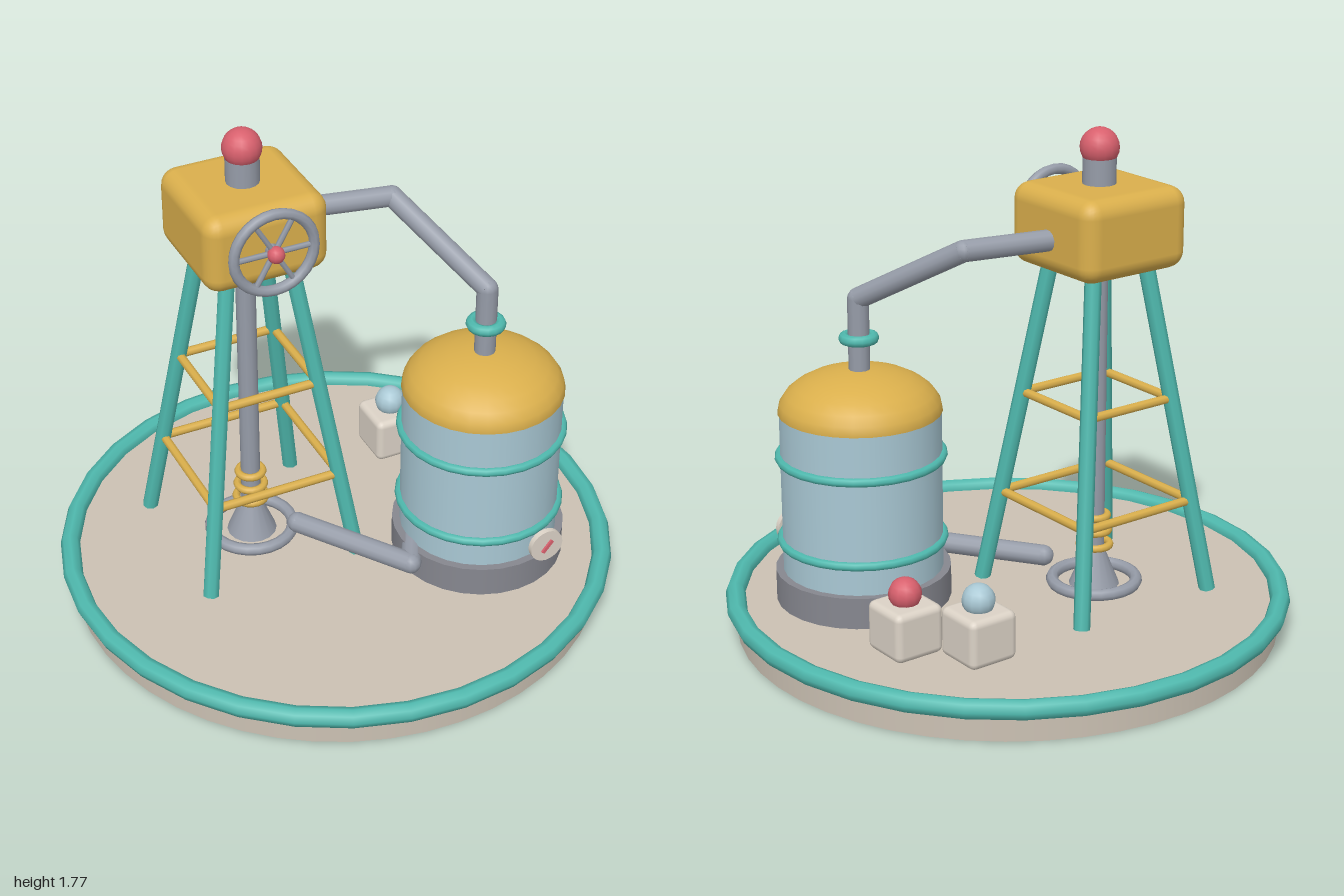
import * as THREE from 'three';
import { RoundedBoxGeometry } from 'three/addons/geometries/RoundedBoxGeometry.js';

const mat = (name, color) => {
  const m = new THREE.MeshStandardMaterial({ color });
  m.name = name;
  return m;
};

export function createModel() {
  const stone = mat('stone', 0xcbc1b3);
  const cream = mat('cream', 0xdbd2c6);
  const teal = mat('teal', 0x4fb9ae);
  const gold = mat('gold', 0xdaaf4c);
  const steel = mat('steel', 0x969ca8);
  const darkSteel = mat('dark steel', 0x86878f);
  const red = mat('red', 0xd8606d);
  const blue = mat('pale blue', 0xa9c8d4);

  const root = new THREE.Group();
  root.name = 'pumpStation';
  const group = (name, x, y, z) => {
    const g = new THREE.Group();
    g.name = name;
    g.position.set(x, y, z);
    root.add(g);
    return g;
  };
  const add = (parent, name, geo, material, x = 0, y = 0, z = 0) => {
    const m = new THREE.Mesh(geo, material);
    m.name = name;
    m.position.set(x, y, z);
    parent.add(m);
    return m;
  };
  // Upright cylinder between two heights
  const column = (parent, name, r0, r1, y0, y1, material, sides = 24) =>
    add(parent, name, new THREE.CylinderGeometry(r1, r0, y1 - y0, sides), material, 0, (y0 + y1) / 2, 0);
  // Horizontal ring
  const ring = (parent, name, r, tube, y, material, sides = 8, segs = 28) =>
    add(parent, name, new THREE.TorusGeometry(r, tube, sides, segs).rotateX(Math.PI / 2), material, 0, y, 0);
  // Round bar between two points
  const bar = (parent, name, a, b, r, material, sides = 8) => {
    const p = new THREE.Vector3(...a), d = new THREE.Vector3(...b).sub(p);
    const m = add(parent, name, new THREE.CylinderGeometry(r, r, d.length(), sides), material);
    m.position.copy(p).addScaledVector(d, 0.5);
    m.quaternion.setFromUnitVectors(new THREE.Vector3(0, 1, 0), d.normalize());
    return m;
  };
  // Pipe of straight runs with round elbows
  const pipe = (name, pts, r) => {
    const g = group(name, 0, 0, 0);
    pts.forEach((p, i) => {
      if (i) bar(g, 'pipeRun', pts[i - 1], p, r, steel, 12);
      add(g, 'elbow', new THREE.SphereGeometry(r, 12, 8), steel, ...p);
    });
  };

  // Round platform with rim
  const base = group('platform', 0, 0, 0);
  column(base, 'platformDisc', 0.96, 0.96, 0, 0.115, stone, 48);
  ring(base, 'platformRim', 0.965, 0.035, 0.115, teal, 8, 32);

  // Tower
  const tx = -0.262, tz = -0.164;
  const tower = group('tower', tx, 0, tz);
  const spread = y => 0.28 - 0.143 * (y - 0.15);
  const corners = [[1, 1], [-1, 1], [-1, -1], [1, -1]];
  corners.forEach(([sx, sz], i) => {
    const at = (y, [cx, cz]) => [cx * spread(y), y, cz * spread(y)];
    bar(tower, 'towerLeg', at(0.115, [sx, sz]), at(1.34, [sx, sz]), 0.029, teal);
    for (const y of [0.45, 0.825])
      bar(tower, 'towerBrace', at(y, [sx, sz]), at(y, corners[(i + 1) % 4]), 0.016, gold);
  });
  add(tower, 'gearHousing', new RoundedBoxGeometry(0.444, 0.285, 0.44, 3, 0.06), gold, 0, 1.436, 0);
  column(tower, 'drillShaft', 0.035, 0.035, 0.2, 1.32, steel, 12);
  column(tower, 'wellCone', 0.09, 0.035, 0.115, 0.25, steel, 16);
  ring(tower, 'wellRing', 0.15, 0.022, 0.13, steel, 8, 24);
  [0.265, 0.32, 0.375].forEach((y, i) =>
    ring(tower, 'shaftRing', 0.054 - i * 0.005, 0.014, y, gold, 8, 20));
  column(tower, 'topPost', 0.058, 0.058, 1.56, 1.68, steel, 16);
  add(tower, 'beacon', new THREE.SphereGeometry(0.068, 16, 12), red, 0, 1.703, 0);

  // Handwheel on the housing front
  const wheel = group('handwheel', tx, 1.436, 0.082);
  add(wheel, 'wheelRim', new THREE.TorusGeometry(0.144, 0.019, 8, 28), steel);
  for (let i = 0; i < 3; i++) {
    const a = i * Math.PI / 3, c = 0.144 * Math.cos(a), s = 0.144 * Math.sin(a);
    bar(wheel, 'wheelSpoke', [-c, -s, 0], [c, s, 0], 0.01, steel, 6);
  }
  bar(wheel, 'wheelAxle', [0, 0, -0.05], [0, 0, 0.01], 0.022, steel);
  add(wheel, 'wheelHub', new THREE.SphereGeometry(0.03, 12, 8), red, 0, 0, 0.015);

  // Tank with domed lid
  const kx = 0.442, kz = 0.256;
  const tank = group('tank', kx, 0, kz);
  column(tank, 'tankFoot', 0.308, 0.308, 0.11, 0.227, darkSteel, 28);
  column(tank, 'tankBody', 0.281, 0.281, 0.22, 0.8, blue, 28);
  const dome = new THREE.SphereGeometry(0.285, 28, 7, 0, Math.PI * 2, 0, Math.PI / 2).scale(1, 0.53, 1);
  add(tank, 'tankDome', dome, gold, 0, 0.8, 0);
  for (const y of [0.335, 0.64]) ring(tank, 'tankBand', 0.284, 0.016, y, teal);
  ring(tank, 'pipeCollar', 0.05, 0.02, 1.06, teal, 8, 16);

  // Gauge on the tank front
  const gauge = group('gauge', 0.538, 0.29, 0.572);
  bar(gauge, 'gaugeStem', [0, 0, -0.08], [0, 0, 0], 0.02, steel);
  bar(gauge, 'gaugeFace', [0, 0, -0.01], [0, 0, 0.01], 0.063, cream, 20);
  const needle = add(gauge, 'gaugeNeedle', new THREE.BoxGeometry(0.013, 0.055, 0.009), red, 0, 0, 0.0135);
  needle.rotation.z = -0.7;

  // Feed pipe over the top and drain pipe along the floor
  pipe('feedPipe', [[-0.08, 1.415, -0.175], [0.262, 1.415, -0.105], [kx, 1.2, kz], [kx, 0.92, kz]], 0.037);
  pipe('drainPipe', [[-0.145, 0.2, -0.02], [0.118, 0.2, 0.362], [0.19, 0.2, 0.235]], 0.037);

  // Crates topped with balls
  for (const [x, z, m] of [[0.422, -0.4, blue], [0.587, -0.213, red]]) {
    const crate = group('crate', x, 0, z);
    add(crate, 'crateBox', new RoundedBoxGeometry(0.188, 0.175, 0.188, 2, 0.025), cream, 0, 0.2, 0);
    add(crate, 'crateBall', new THREE.SphereGeometry(0.057, 12, 10), m, 0, 0.318, 0);
  }
  return root;
}
